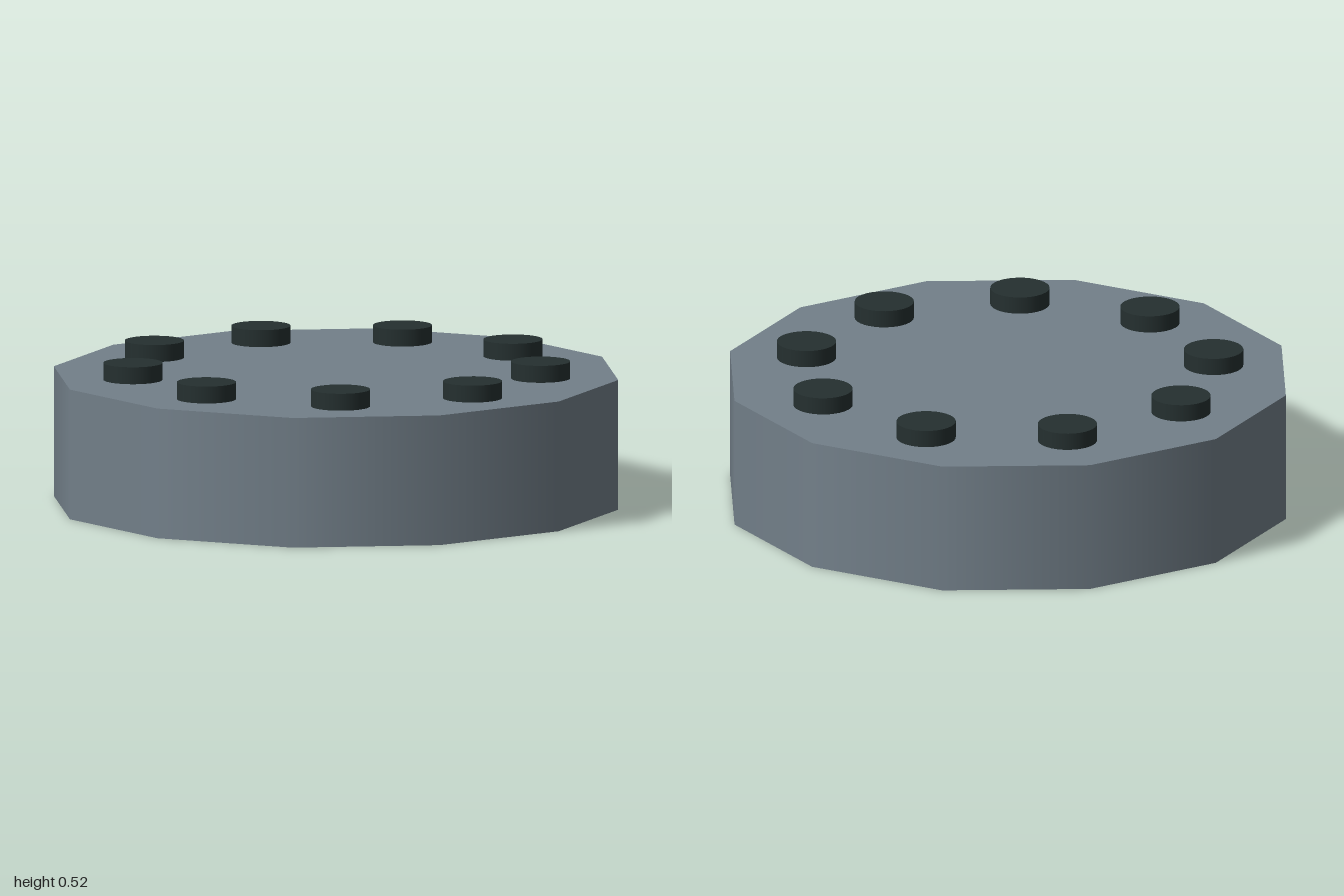
import * as THREE from 'three';

export function createModel() {
  const model = new THREE.Group();
  const slateGrey = new THREE.MeshStandardMaterial({ color: 0x73808a });
  slateGrey.name = 'slateGrey';
  const darkGreen = new THREE.MeshStandardMaterial({ color: 0x253030 });
  darkGreen.name = 'darkGreen';

  // twelve-sided drum with smooth side shading
  const baseHeight = 0.46;
  const base = new THREE.Mesh(new THREE.CylinderGeometry(1, 1, baseHeight, 12), slateGrey);
  base.name = 'base';
  base.position.y = baseHeight / 2;
  model.add(base);

  // ring of nine round studs, the first one at the front
  const studs = new THREE.Group();
  studs.name = 'studs';
  const studHeight = 0.06, studCount = 9, ringRadius = 0.725;
  const studGeometry = new THREE.CylinderGeometry(0.104, 0.104, studHeight, 32);
  for (let i = 0; i < studCount; i++) {
    const angle = (i / studCount) * Math.PI * 2;
    const stud = new THREE.Mesh(studGeometry, darkGreen);
    stud.name = `stud${i + 1}`;
    stud.position.set(
      Math.sin(angle) * ringRadius,
      baseHeight + studHeight / 2,
      Math.cos(angle) * ringRadius
    );
    studs.add(stud);
  }
  model.add(studs);

  return model;
}
